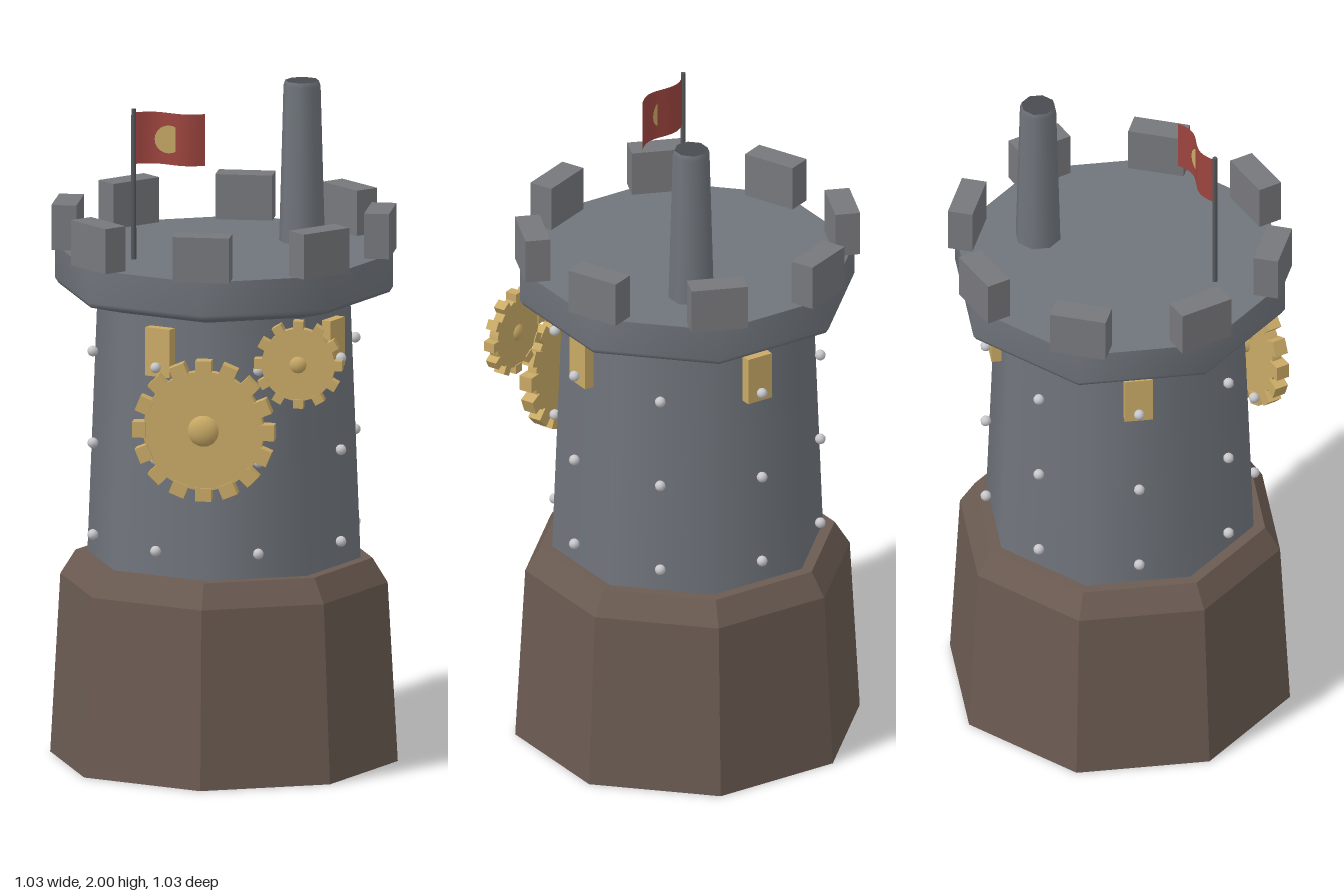
import * as THREE from 'three';

const material = (name, color, side = THREE.FrontSide) => {
  const m = new THREE.MeshStandardMaterial({ color, side });
  m.name = name;
  return m;
};

export function createModel() {
  const stone = material('stone', 0x70757c);
  const merlonStone = material('merlon stone', 0x77787c);
  const brown = material('foundation brown', 0x6b5b52);
  const brass = material('brass', 0xc9aa66);
  const steel = material('steel', 0xc8c8cc);
  const iron = material('dark iron', 0x55585c);
  const soot = material('soot', 0x484b4f);
  const red = material('flag red', 0x9c443e, THREE.DoubleSide);
  const emblemGold = material('emblem gold', 0xc9aa66, THREE.DoubleSide);

  const model = new THREE.Group();
  model.name = 'clockworkTower';

  const add = (name, geometry, mat, x = 0, y = 0, z = 0, parent = model) => {
    const mesh = new THREE.Mesh(geometry, mat);
    mesh.name = name;
    mesh.position.set(x, y, z);
    parent.add(mesh);
    return mesh;
  };
  const lathe = (points) =>
    new THREE.LatheGeometry(points.map(([r, y]) => new THREE.Vector2(r, y)), 8);
  const faceted = (geometry) => {
    const g = geometry.toNonIndexed();
    g.computeVertexNormals();
    return g;
  };
  // Puts a mesh on a circle around the tower, facing outwards
  const placeAround = (mesh, angle, radius, y) => {
    mesh.position.set(Math.sin(angle) * radius, y, Math.cos(angle) * radius);
    mesh.rotation.y = angle;
  };

  // Faceted octagonal foundation with a chamfered top
  add('foundation', faceted(new THREE.CylinderGeometry(0.485, 0.515, 0.535, 8)), brown, 0, 0.2675, 0);
  add('foundationChamfer', faceted(new THREE.CylinderGeometry(0.44, 0.485, 0.072, 8)), brown, 0, 0.571, 0);

  // Smooth-shaded octagonal wall, flared rim and roof
  add('wall', lathe([[0.405, 0.6], [0.374, 1.4]]), stone);
  add('rim', lathe([[0.374, 1.375], [0.49, 1.405], [0.5, 1.42], [0.5, 1.52]]), stone);
  const roof = add('roof', new THREE.CircleGeometry(0.5, 8), stone, 0, 1.52, 0);
  roof.rotation.x = -Math.PI / 2;

  // Battlements
  const merlon = new THREE.BoxGeometry(0.168, 0.135, 0.074);
  for (let i = 0; i < 8; i++) {
    placeAround(add('merlon', merlon, merlonStone), i * Math.PI / 4, 0.463, 1.5875);
  }

  // Three rows of rivets
  const rivet = new THREE.SphereGeometry(0.016, 10, 8);
  for (const y of [0.685, 0.96, 1.235]) {
    for (let i = 0; i < 8; i++) {
      placeAround(add('rivet', rivet, steel), (i + 0.5) * Math.PI / 4, 0.398, y);
    }
  }

  // Brass windows on every other wall face
  const pane = new THREE.BoxGeometry(0.083, 0.145, 0.03);
  for (let i = 0; i < 4; i++) {
    placeAround(add('window', pane, brass), -Math.PI / 8 + i * Math.PI / 2, 0.372, 1.278);
  }

  // Chimney with a sooty top
  add('chimney', lathe([[0.068, 1.51], [0.055, 1.985], [0.05, 2]]), stone, 0.21, 0, -0.155);
  const flue = add('chimneyTop', new THREE.CircleGeometry(0.05, 8), soot, 0.21, 2, -0.155);
  flue.rotation.x = -Math.PI / 2;

  // Toothed gears with domed hubs
  const addGear = (name, x, y, z, radius, teeth, tooth, hubRadius, hubDepth) => {
    const gear = new THREE.Group();
    gear.name = name;
    gear.position.set(x, y, z);
    model.add(gear);
    const disc = new THREE.CylinderGeometry(radius, radius, 0.03, 32).rotateX(Math.PI / 2);
    add('gearDisc', disc, brass, 0, 0, 0, gear);
    const toothShape = new THREE.BoxGeometry(...tooth);
    for (let i = 0; i < teeth; i++) {
      const a = i * 2 * Math.PI / teeth;
      const r = radius + tooth[0] * 0.3;
      const m = add('gearTooth', toothShape, brass, Math.cos(a) * r, Math.sin(a) * r, 0, gear);
      m.rotation.z = a;
    }
    const hub = add('gearHub', new THREE.SphereGeometry(hubRadius, 20, 12), brass, 0, 0, 0, gear);
    hub.scale.z = hubDepth / hubRadius;
  };
  addGear('largeGear', 0, 1.065, 0.432, 0.178, 16, [0.04, 0.047, 0.042], 0.052, 0.034);
  addGear('smallGear', 0.28, 1.27, 0.426, 0.108, 12, [0.028, 0.03, 0.036], 0.031, 0.026);

  // Flagpole and waving flag
  add('flagpole', new THREE.CylinderGeometry(0.007, 0.008, 0.46, 8), iron, -0.243, 1.74, 0.18);
  const cloth = new THREE.PlaneGeometry(0.208, 0.155, 16, 1);
  const p = cloth.attributes.position;
  for (let i = 0; i < p.count; i++) {
    p.setZ(i, -0.015 * Math.sin((p.getX(i) / 0.208 + 0.5) * 2 * Math.PI));
  }
  cloth.computeVertexNormals();
  add('flag', cloth, red, -0.135, 1.8825, 0.18);
  add('flagEmblem', new THREE.CircleGeometry(0.042, 20), emblemGold, -0.138, 1.8825, 0.187);

  return model;
}
